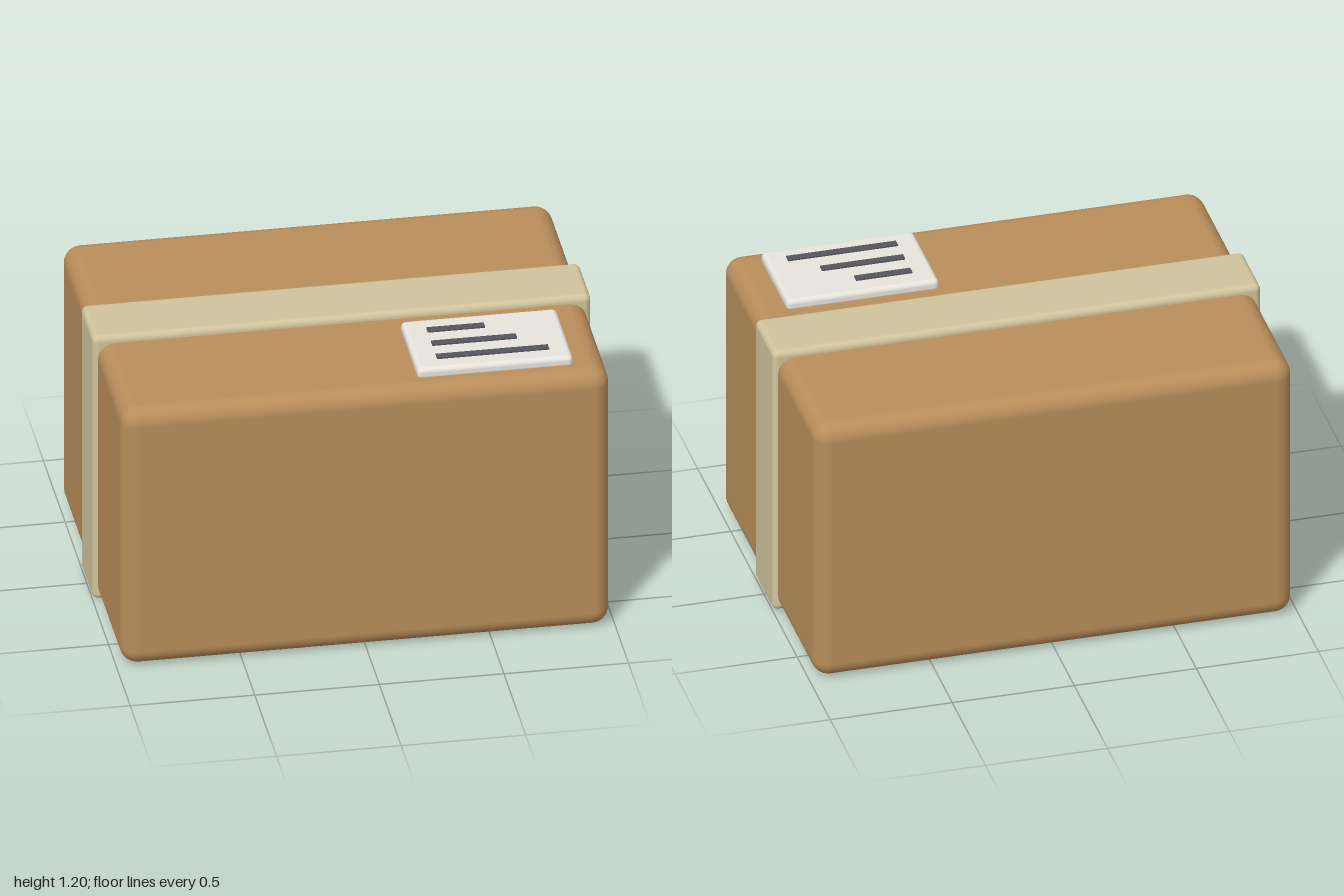
import * as THREE from 'three';
import { RoundedBoxGeometry } from 'three/addons/geometries/RoundedBoxGeometry.js';

const paint = (color) => new THREE.MeshStandardMaterial({ color });

// Rounded block given by its min and max corners
function block(name, [x0, y0, z0], [x1, y1, z1], radius, material) {
  const geometry = new RoundedBoxGeometry(x1 - x0, y1 - y0, z1 - z0, 4, radius);
  const mesh = new THREE.Mesh(geometry, material);
  mesh.name = name;
  mesh.position.set((x0 + x1) / 2, (y0 + y1) / 2, (z0 + z1) / 2);
  return mesh;
}

export function createModel() {
  const model = new THREE.Group();
  model.name = 'parcel';

  // Cardboard body, a hair above the ground so the tape shows underneath
  model.add(block('cardboardBox', [-0.98, 0.002, -0.71], [0.98, 1.16, 0.71], 0.07, paint(0xb98d5a)));

  // Tape band wrapped around the middle
  model.add(block('tapeBand', [-1, 0, -0.14], [1, 1.19, 0.14], 0.025, paint(0xd0c39c)));

  // Address label with three printed lines
  const label = new THREE.Group();
  label.name = 'addressLabel';
  label.add(block('labelPlate', [0.22, 1.145, 0.22], [0.845, 1.197, 0.622], 0.02, paint(0xe6e4dc)));
  const ink = paint(0x55555f);
  [0.54, 0.65, 0.76].forEach((end, i) => {
    const z = 0.318 + i * 0.108;
    const line = new THREE.Mesh(new THREE.BoxGeometry(end - 0.31, 0.016, 0.034), ink);
    line.name = 'labelLine' + (i + 1);
    line.position.set((0.31 + end) / 2, 1.195, z);
    label.add(line);
  });
  model.add(label);

  return model;
}
